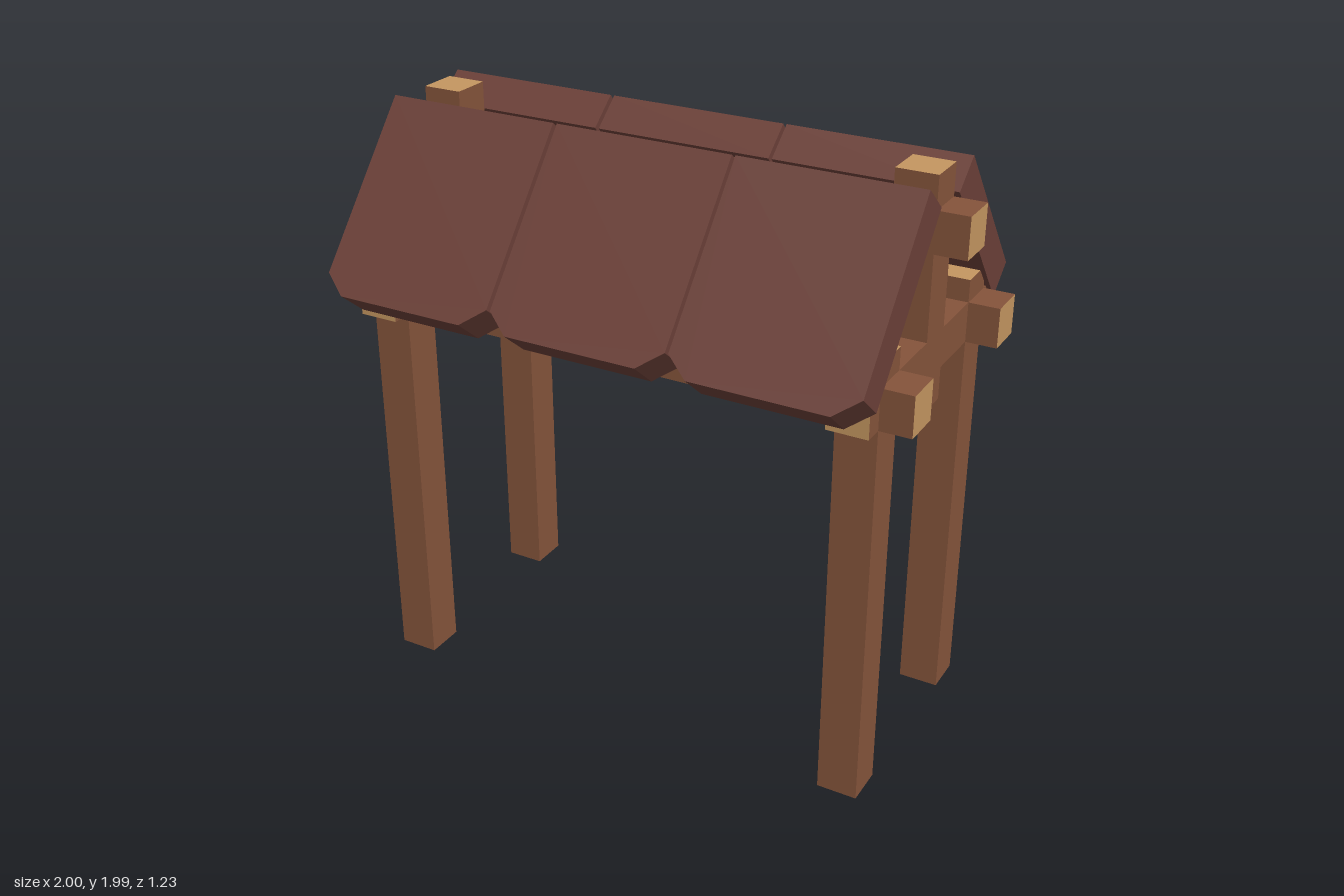
import * as THREE from 'three';

const BEAM = 0.135; // square timber thickness

export function createModel() {
  const model = new THREE.Group();
  model.name = 'gabledShelter';

  const mat = (name, color) => {
    const m = new THREE.MeshStandardMaterial({ color });
    m.name = name;
    return m;
  };
  const wood = mat('brown wood', 0x85543b);
  const endGrain = mat('tan end grain', 0xc49660);
  const roof = mat('dark red roof', 0x6b4038);

  // Square timber along one axis (0 = x, 1 = y, 2 = z), with end grain on both ends
  const timber = (name, axis, from, to, x, y, z) => {
    const size = [BEAM, BEAM, BEAM];
    const centre = [x, y, z];
    size[axis] = to - from;
    centre[axis] = (from + to) / 2;
    const faces = Array.from({ length: 6 }, (_, i) => (i >> 1 === axis ? endGrain : wood));
    const mesh = new THREE.Mesh(new THREE.BoxGeometry(...size), faces);
    mesh.position.set(...centre);
    mesh.name = name;
    model.add(mesh);
  };

  // Two end frames: corner posts, cross beam and king post
  for (const x of [-0.833, 0.828]) {
    for (const z of [-0.346, 0.346]) timber('cornerPost', 1, 0, 1.538, x, 0, z);
    timber('crossBeam', 2, -0.48, 0.48, x, 1.395, 0);
    timber('kingPost', 1, 1.22, 1.985, x, 0, 0);
  }

  // Long beams: two eaves and the ridge
  for (const z of [-0.346, 0.346]) timber('eaveBeam', 0, -1, 1, 0, 1.395, z);
  timber('ridgeBeam', 0, -1, 1, 0, 1.811, 0);

  // Roof panel with its two lower corners cut off
  const w = 0.305, len = 0.69, cx = 0.078, cy = 0.066;
  const outline = new THREE.Shape([
    [-w, 0], [-w, -len + cy], [-w + cx, -len],
    [w - cx, -len], [w, -len + cy], [w, 0],
  ].map(([x, y]) => new THREE.Vector2(x, y)));
  const panelGeometry = new THREE.ExtrudeGeometry(outline, { depth: 0.13, bevelEnabled: false });
  panelGeometry.rotateX(THREE.MathUtils.degToRad(-40));
  panelGeometry.translate(0, 1.892, 0.072);

  // Three panels on each slope
  for (const turn of [0, Math.PI]) {
    const slope = new THREE.Group();
    slope.name = turn ? 'backRoof' : 'frontRoof';
    for (const x of [-0.639, -0.0155, 0.606]) {
      const panel = new THREE.Mesh(panelGeometry, roof);
      panel.name = 'roofPanel';
      panel.position.x = x;
      panel.rotation.y = turn;
      slope.add(panel);
    }
    model.add(slope);
  }

  return model;
}
